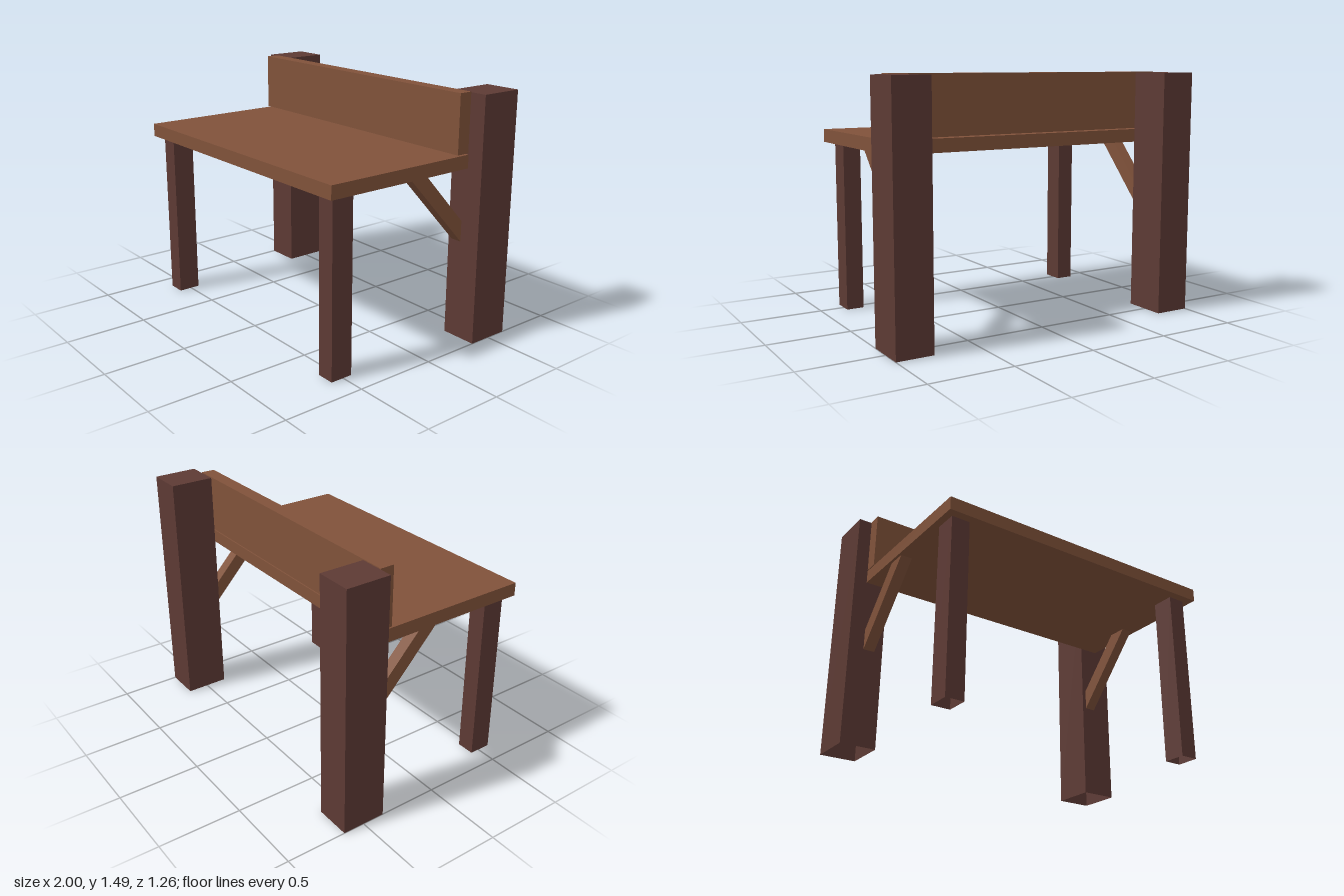
import * as THREE from 'three';

export function createModel() {
  const model = new THREE.Group();
  model.name = 'bench';

  const boardWood = new THREE.MeshStandardMaterial({ color: 0x80523a, side: THREE.DoubleSide });
  boardWood.name = 'board wood';
  const postWood = new THREE.MeshStandardMaterial({ color: 0x5d3a34, side: THREE.DoubleSide });
  postWood.name = 'dark post wood';

  // Box between two corners; openBottom drops the face it stands on
  function addBox(name, material, [x0, x1], [y0, y1], [z0, z1], openBottom = false) {
    const geo = new THREE.BoxGeometry(x1 - x0, y1 - y0, z1 - z0);
    if (openBottom) {
      const index = Array.from(geo.index.array);
      index.splice(18, 6);
      geo.setIndex(index);
      geo.clearGroups();
    }
    const mesh = new THREE.Mesh(geo, material);
    mesh.position.set((x0 + x1) / 2, (y0 + y1) / 2, (z0 + z1) / 2);
    mesh.name = name;
    model.add(mesh);
  }

  // Seat and back boards
  addBox('seat', boardWood, [-0.92, 0.9], [1.05, 1.13], [-0.362, 0.632]);
  addBox('backBoard', boardWood, [-0.92, 0.897], [1.137, 1.487], [-0.362, -0.278]);

  // Tall rear posts and slim front legs, hollow underneath
  addBox('rightPost', postWood, [-1, -0.78], [0, 1.483], [-0.632, -0.364], true);
  addBox('leftPost', postWood, [0.775, 1], [0, 1.483], [-0.632, -0.364], true);
  addBox('rightFrontLeg', postWood, [-0.877, -0.765], [0, 1.05], [0.442, 0.58], true);
  addBox('leftFrontLeg', postWood, [0.737, 0.847], [0, 1.05], [0.442, 0.58], true);

  // Diagonal braces, cut flush with the post and the seat
  const braceShape = new THREE.Shape([
    new THREE.Vector2(-0.055, 1.05),
    new THREE.Vector2(0.363, 0.603),
    new THREE.Vector2(0.363, 0.73),
    new THREE.Vector2(0.065, 1.05),
  ]);
  const braceWidth = 0.07;
  for (const [name, x] of [['rightBrace', -0.904], ['leftBrace', 0.87 - braceWidth]]) {
    const geo = new THREE.ExtrudeGeometry(braceShape, { depth: braceWidth, bevelEnabled: false });
    geo.rotateY(Math.PI / 2);
    const brace = new THREE.Mesh(geo, boardWood);
    brace.position.x = x;
    brace.name = name;
    model.add(brace);
  }

  return model;
}
